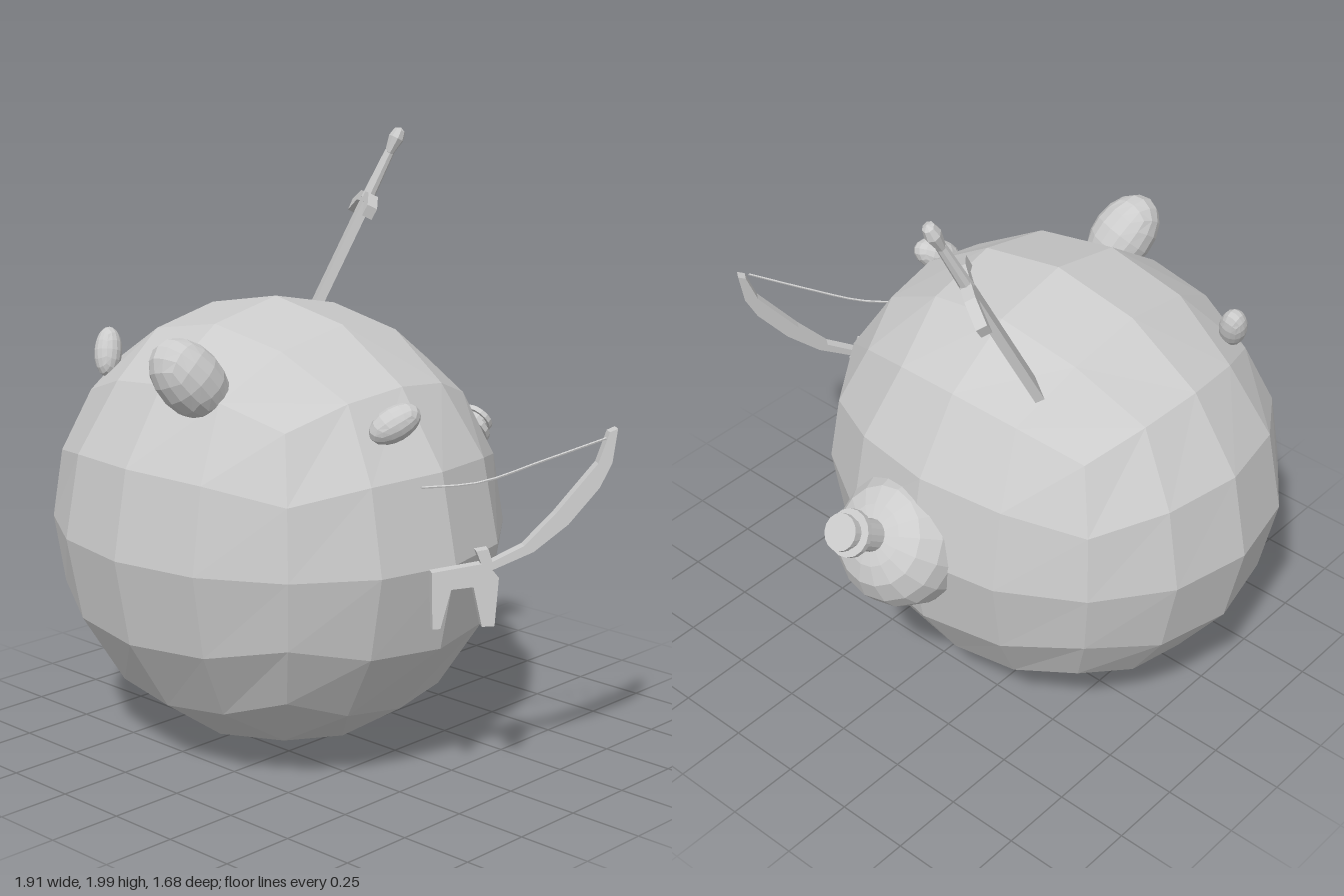
import * as THREE from 'three';

const mat = new THREE.MeshStandardMaterial({ color: 0xcccccc, flatShading: true, side: THREE.DoubleSide });
const V = (x, y, z) => new THREE.Vector3(x, y, z);

function add(parent, name, geometry, x = 0, y = 0, z = 0) {
  const m = new THREE.Mesh(geometry, mat);
  m.name = name;
  m.position.set(x, y, z);
  parent.add(m);
  return m;
}

// Cube rounded into a unit sphere, four faces per side
function quadSphere() {
  const g = new THREE.BoxGeometry(2, 2, 2, 4, 4, 4);
  const p = g.attributes.position;
  for (let i = 0; i < p.count; i++) {
    const c = [p.getX(i), p.getY(i), p.getZ(i)];
    const full = c.filter((a) => Math.abs(a) > 0.9).length;
    const half = c.filter((a) => Math.abs(a) > 0.4 && Math.abs(a) < 0.6).length;
    const k = full === 2 ? 0.449 : half === 2 ? 0.43 : 0.414;
    const v = V(...c.map((a) => (Math.abs(a) > 0.4 && Math.abs(a) < 0.6 ? Math.sign(a) * k : a))).normalize();
    p.setXYZ(i, v.x, v.y, v.z);
  }
  g.computeVertexNormals();
  return g;
}

function extrude(points, depth) {
  const shape = new THREE.Shape(points.map(([x, y]) => new THREE.Vector2(x, y)));
  return new THREE.ExtrudeGeometry(shape, { depth, bevelEnabled: false }).translate(0, 0, -depth / 2);
}

function lathe(points, segments) {
  return new THREE.LatheGeometry(points.map(([r, y]) => new THREE.Vector2(r, y)), segments);
}

// Turns an object so its y axis follows the given direction
function aim(object, x, y, z) {
  object.quaternion.setFromUnitVectors(V(0, 1, 0), V(x, y, z).normalize());
}

function createSword() {
  const sword = new THREE.Group();
  sword.name = 'sword';
  const up = V(0.223, 0.893, -0.393).normalize();
  const side = V(0.79, 0.07, 0.61);
  side.addScaledVector(up, -side.dot(up)).normalize();
  sword.quaternion.setFromRotationMatrix(
    new THREE.Matrix4().makeBasis(side, up, side.clone().cross(up)));
  sword.position.set(-0.288, 1.745, -0.42);
  add(sword, 'blade', new THREE.BoxGeometry(0.078, 0.56, 0.03), 0, -0.28, 0);
  add(sword, 'crossguard', extrude([[-0.16, -0.05], [-0.08, -0.005], [0.08, -0.005], [0.16, -0.05],
    [0.17, -0.01], [0.08, 0.03], [-0.08, 0.03], [-0.17, -0.01]], 0.036));
  add(sword, 'grip', new THREE.CylinderGeometry(0.017, 0.022, 0.18, 8), 0, 0.1, 0);
  add(sword, 'pommel', lathe([[0, 0], [0.02, 0.005], [0.036, 0.06], [0.026, 0.09], [0, 0.1]], 8), 0, 0.18, 0)
    .scale.z = 0.75;
  return sword;
}

function createBottle() {
  const bottle = new THREE.Group();
  bottle.name = 'bottle';
  bottle.position.set(-0.092, 0.74, -0.51);
  aim(bottle, 0, 0.58, -0.8);
  add(bottle, 'bottleBody', lathe([[0, -0.21], [0.12, -0.19], [0.19, -0.12], [0.215, -0.03], [0.22, 0.04],
    [0.205, 0.1], [0.16, 0.16], [0.1, 0.19], [0.052, 0.2]], 16));
  add(bottle, 'bottleNeck', new THREE.CylinderGeometry(0.05, 0.053, 0.16, 16), 0, 0.27, 0);
  add(bottle, 'bottleLip', new THREE.CylinderGeometry(0.077, 0.077, 0.02, 16), 0, 0.31, 0);
  add(bottle, 'stopper', new THREE.CylinderGeometry(0.06, 0.06, 0.018, 16), 0, 0.354, 0);
  return bottle;
}

function createBow() {
  const bow = new THREE.Group();
  bow.name = 'bow';
  // Pronged grip and curved limb in one upright outline
  const g = extrude([[0, 0.58], [0.025, 0.58], [0.06, 0.7], [0.13, 0.705], [0.155, 0.58], [0.195, 0.58],
    [0.21, 0.73], [0.19, 0.755], [0.32, 0.805], [0.43, 0.885], [0.53, 0.995], [0.57, 1.07], [0.588, 1.175],
    [0.562, 1.165], [0.525, 1.07], [0.39, 0.92], [0.29, 0.825], [0.19, 0.78], [0.178, 0.82], [0.14, 0.815],
    [0.155, 0.775], [0, 0.755], [0, 0.7]], 0.036);
  // Lean the outline slightly outward at the bottom
  const p = g.attributes.position;
  for (let i = 0; i < p.count; i++) p.setZ(i, p.getZ(i) - 0.1 * (p.getY(i) - 0.85));
  const limb = add(bow, 'bowLimb', g, 0.61, 0, 0.24);
  limb.rotation.y = Math.atan2(0.804, 0.594);
  const path = new THREE.CatmullRomCurve3([V(0.54, 1, 0.22), V(0.67, 1.015, 0.083), V(0.8, 1.08, -0.06), V(0.935, 1.15, -0.2)]);
  add(bow, 'bowString', new THREE.TubeGeometry(path, 10, 0.004, 5));
  return bow;
}

export function createModel() {
  const model = new THREE.Group();
  model.name = 'stuckBall';
  add(model, 'ball', quadSphere(), -0.17, 0.75, 0.13).scale.set(0.79, 0.75, 0.71);

  // Egg-shaped bumps: centre, long axis, radius, half length
  const bumps = [
    ['largeBump', [-0.03, 1.32, 0.64], [-0.25, 0.75, 0.62], 0.105, 0.15],
    ['rightBump', [-0.62, 1.3, 0.468], [-0.25, 0.85, -0.3], 0.046, 0.085],
    ['leftBump', [0.485, 1.2, 0.267], [0.45, 0.45, -0.75], 0.054, 0.088],
  ];
  for (const [name, at, axis, r, h] of bumps) {
    const bump = add(model, name, quadSphere(), ...at);
    bump.scale.set(r, h, r);
    aim(bump, ...axis);
  }

  model.add(createSword(), createBottle(), createBow());
  return model;
}
